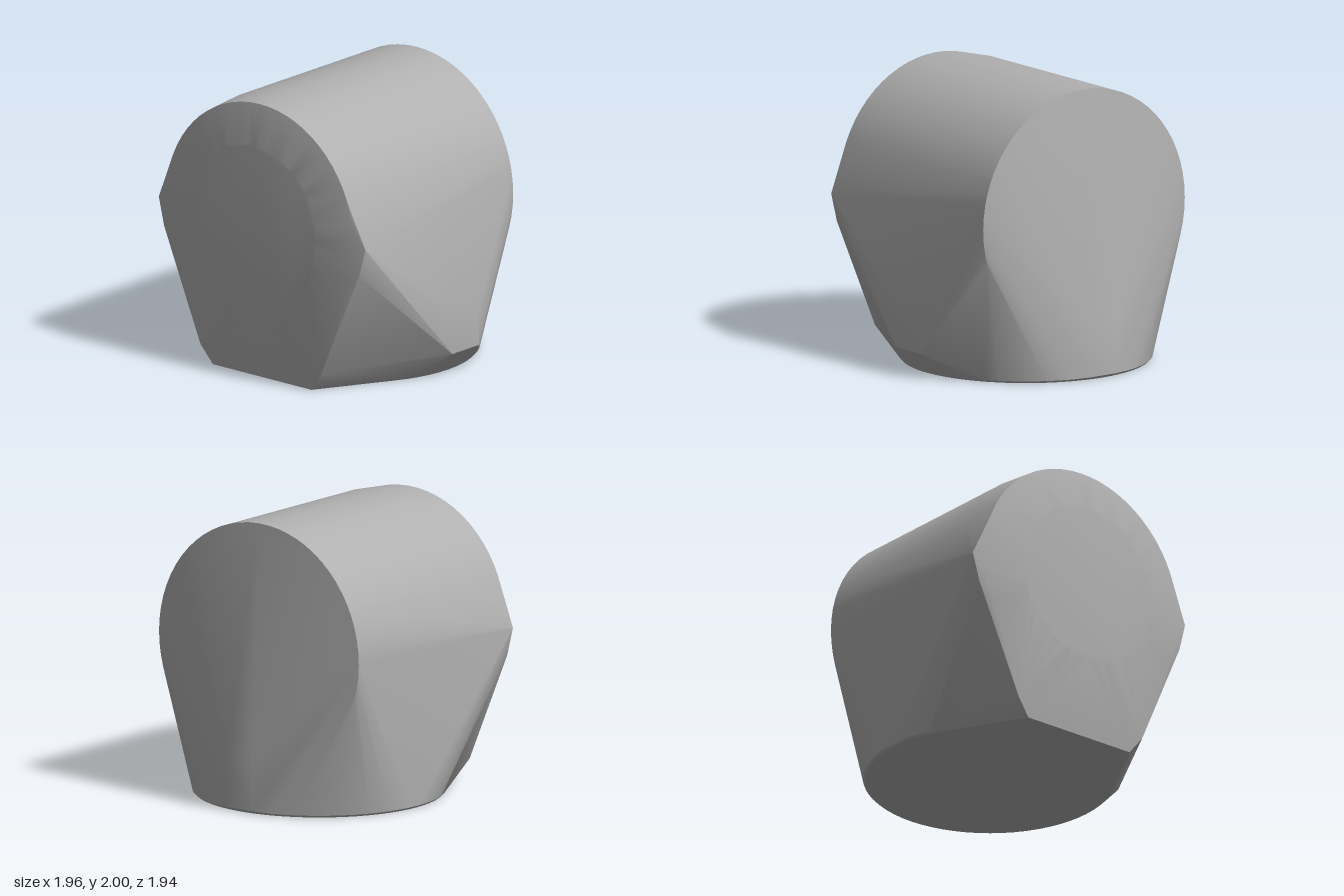
import * as THREE from 'three';
import { ConvexGeometry } from 'three/addons/geometries/ConvexGeometry.js';
import { toCreasedNormals } from 'three/addons/utils/BufferGeometryUtils.js';

const CX = -0.04, CY = 1.12, SEGMENTS = 64;

export function createModel() {
  const group = new THREE.Group();
  const grey = new THREE.MeshStandardMaterial({ color: 0xb0b0b0 });
  grey.name = 'grey';

  const points = [];
  const add = (x, y, z) => points.push(new THREE.Vector3(x, y, z));
  const ring = (r, place) => {
    for (let i = 0; i < SEGMENTS; i++) {
      const a = (i / SEGMENTS) * Math.PI * 2;
      place(Math.cos(a) * r, Math.sin(a) * r);
    }
  };

  // Horizontal drum: radius and z of each ring, from the front disc to the back
  for (const [r, z] of [[0.57, 0.97], [0.858, 0.9], [0.88, 0.64], [0.88, -0.75]]) {
    ring(r, (u, v) => add(CX + u, CY + v, z));
  }

  // Round base with a small rounded lower edge
  for (const [r, y] of [[0.86, 0], [0.875, 0.015]]) {
    ring(r, (u, v) => add(CX - 0.005 + u, y, -0.09 + v));
  }

  // Front shoulders and the lower front corners, mirrored about the drum axis
  for (const s of [-1, 1]) {
    for (const [x, y, z] of [
      [0.943, 1.11, 0.875], [0.89, 0.91, 0.88], [0.8, 0.71, 0.885],
      [0.55, 0.13, 0.89], [0.45, 0, 0.875],
    ]) add(CX + s * x, y, z);
  }

  // Bump on the left side
  for (const z of [0.05, -0.23]) add(0.98, 0.18, z);
  for (const z of [0, -0.22]) add(0.98, 0.4, z);

  // Narrow upright block at the back
  for (const x of [-0.15, 0.07]) {
    add(x, 0.02, -0.97);
    add(x, 0.36, -0.97);
  }

  // Smooth skin stretched over all the rings and corners
  const body = new THREE.Mesh(toCreasedNormals(new ConvexGeometry(points), 0.45), grey);
  body.name = 'body';
  group.add(body);
  return group;
}
